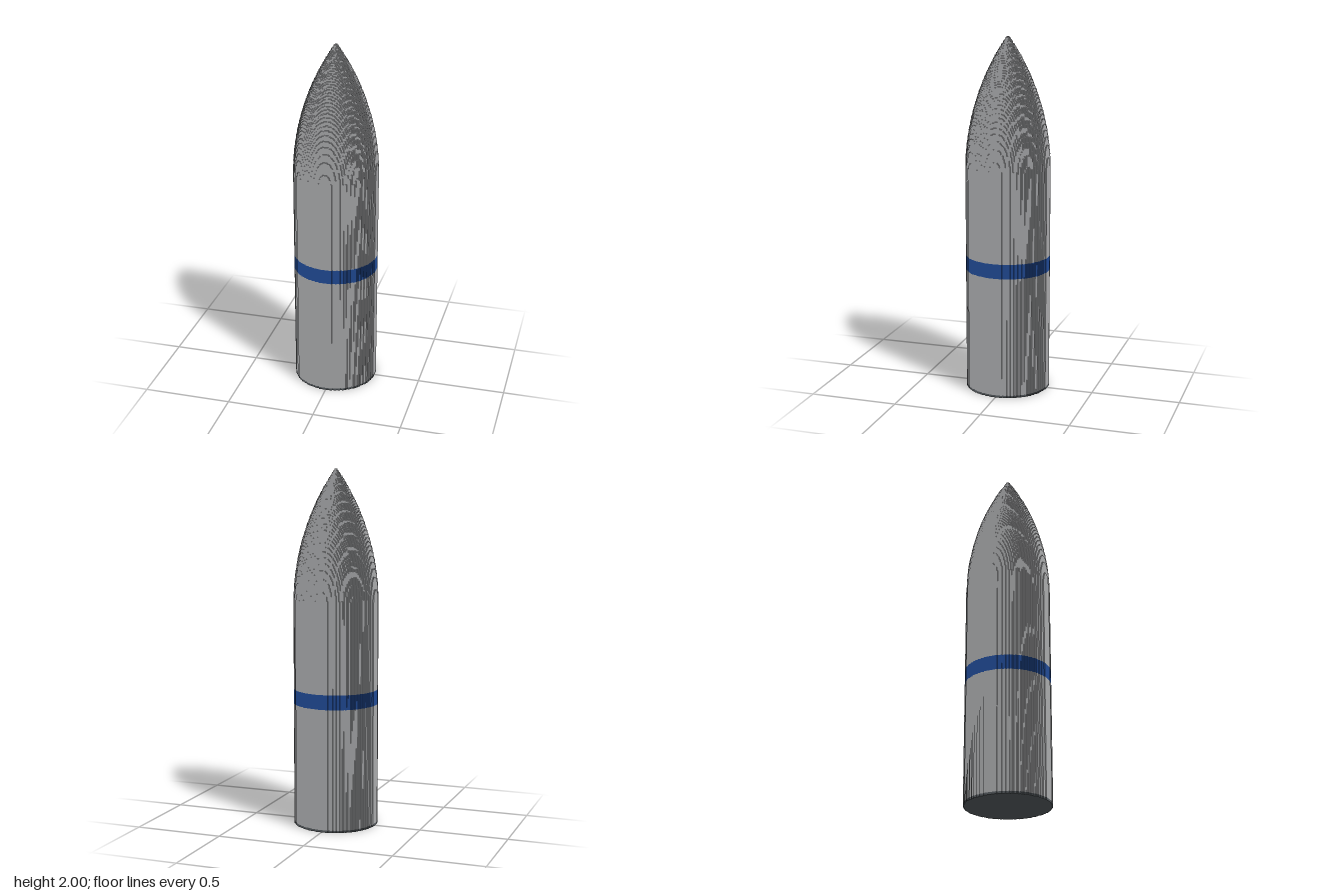
import * as THREE from 'three';

// All sizes below are counted in small cubes
const RADIUS = 37, LAYERS = 315, CELL = 2 / LAYERS;
const NOSE_START = 197, NOSE_LENGTH = 119;
const ARC = (RADIUS ** 2 + NOSE_LENGTH ** 2) / (2 * RADIUS);

// Height of the column of cubes at (i, k): a cylinder under a tangent ogive
function columnHeight(i, k) {
  const r = Math.hypot(i + 0.5, k + 0.5);
  if (r > RADIUS) return 0;
  const rise = Math.sqrt(ARC ** 2 - (r + ARC - RADIUS) ** 2);
  return Math.min(LAYERS, Math.round(NOSE_START + rise));
}

// Exposed faces of the stepped solid between two heights
function steppedSection(bottom, top) {
  const points = [];
  const quad = (a, b, c, d) => {
    for (const p of [a, b, c, a, c, d]) points.push(p[0] * CELL, p[1] * CELL, p[2] * CELL);
  };
  const level = (i, k) => Math.max(bottom, Math.min(top, columnHeight(i, k)));
  for (let i = -RADIUS; i < RADIUS; i++) {
    for (let k = -RADIUS; k < RADIUS; k++) {
      const full = columnHeight(i, k), h = level(i, k);
      if (full <= bottom) continue;
      const x0 = i, x1 = i + 1, z0 = k, z1 = k + 1;
      // Step top and underside
      if (full <= top) quad([x0, h, z0], [x0, h, z1], [x1, h, z1], [x1, h, z0]);
      if (bottom === 0) quad([x0, 0, z0], [x1, 0, z0], [x1, 0, z1], [x0, 0, z1]);
      // Risers toward lower neighbours
      const right = level(i + 1, k), left = level(i - 1, k);
      const front = level(i, k + 1), back = level(i, k - 1);
      if (right < h) quad([x1, right, z1], [x1, right, z0], [x1, h, z0], [x1, h, z1]);
      if (left < h) quad([x0, left, z0], [x0, left, z1], [x0, h, z1], [x0, h, z0]);
      if (front < h) quad([x0, front, z1], [x1, front, z1], [x1, h, z1], [x0, h, z1]);
      if (back < h) quad([x1, back, z0], [x0, back, z0], [x0, h, z0], [x1, h, z0]);
    }
  }
  const geometry = new THREE.BufferGeometry();
  geometry.setAttribute('position', new THREE.Float32BufferAttribute(points, 3));
  geometry.computeVertexNormals();
  return geometry;
}

function material(name, color) {
  const m = new THREE.MeshStandardMaterial({ color });
  m.name = name;
  return m;
}

export function createModel() {
  const group = new THREE.Group();
  group.name = 'shell';
  const grey = material('steel grey', 0xaeafb1);
  const blue = material('band blue', 0x224d9a);
  const dark = material('base dark grey', 0x555b5f);

  // Stacked sections, from the base plate to the pointed nose
  const sections = [
    ['basePlate', 0, 2, dark],
    ['lowerBody', 2, 109, grey],
    ['colourBand', 109, 122, blue],
    ['upperBody', 122, NOSE_START, grey],
    ['nose', NOSE_START, LAYERS, grey],
  ];
  for (const [name, bottom, top, mat] of sections) {
    const mesh = new THREE.Mesh(steppedSection(bottom, top), mat);
    mesh.name = name;
    group.add(mesh);
  }
  return group;
}
